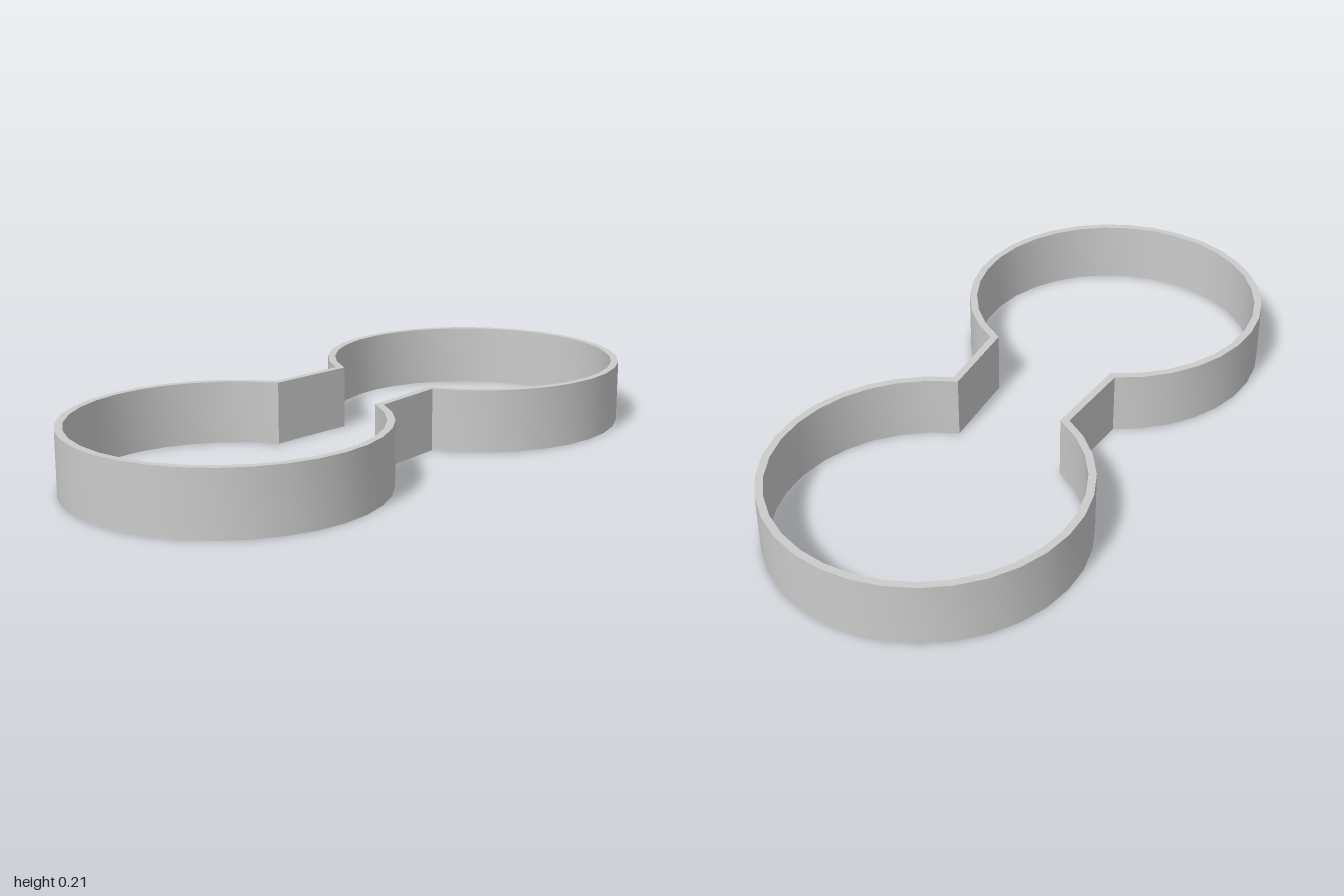
import * as THREE from 'three';
import { toCreasedNormals } from 'three/addons/utils/BufferGeometryUtils.js';

const HEIGHT = 0.21;
const THICKNESS = 0.025;
const RADIUS = 0.5025; // middle of the wall

// Points along one ring, counter-clockwise, angles in degrees
function arc(cx, cy, from, to, segments) {
  return Array.from({ length: segments + 1 }, (_, i) => {
    const a = THREE.MathUtils.degToRad(from + (to - from) * i / segments);
    return new THREE.Vector2(cx + RADIUS * Math.cos(a), cy + RADIUS * Math.sin(a));
  });
}

// Mitred offset of a closed counter-clockwise loop, positive is outward
function offsetLoop(points, distance) {
  const n = points.length;
  const normal = (a, b) => new THREE.Vector2(b.y - a.y, a.x - b.x).normalize();
  return points.map((p, i) => {
    const n1 = normal(points[(i + n - 1) % n], p);
    const n2 = normal(p, points[(i + 1) % n]);
    const mitre = n1.clone().add(n2).multiplyScalar(distance / (1 + n1.dot(n2)));
    return p.clone().add(mitre);
  });
}

export function createModel() {
  const group = new THREE.Group();
  group.name = 'doubleRing';

  // Two open rings; the gaps between their ends become the straight neck walls
  const midline = [
    ...arc(0.48, 0.355, -120.5, 190, 28),
    ...arc(-0.48, -0.355, 64, 370.2, 28),
  ];
  const shape = new THREE.Shape(offsetLoop(midline, THICKNESS / 2));
  shape.holes.push(new THREE.Path(offsetLoop(midline, -THICKNESS / 2)));

  // Wall standing on the ground
  const extruded = new THREE.ExtrudeGeometry(shape, { depth: HEIGHT, bevelEnabled: false });
  extruded.rotateX(-Math.PI / 2);
  const wall = new THREE.Mesh(
    toCreasedNormals(extruded, 0.5),
    new THREE.MeshStandardMaterial({ color: 0xcccccc })
  );
  wall.name = 'ringWall';
  group.add(wall);
  return group;
}
